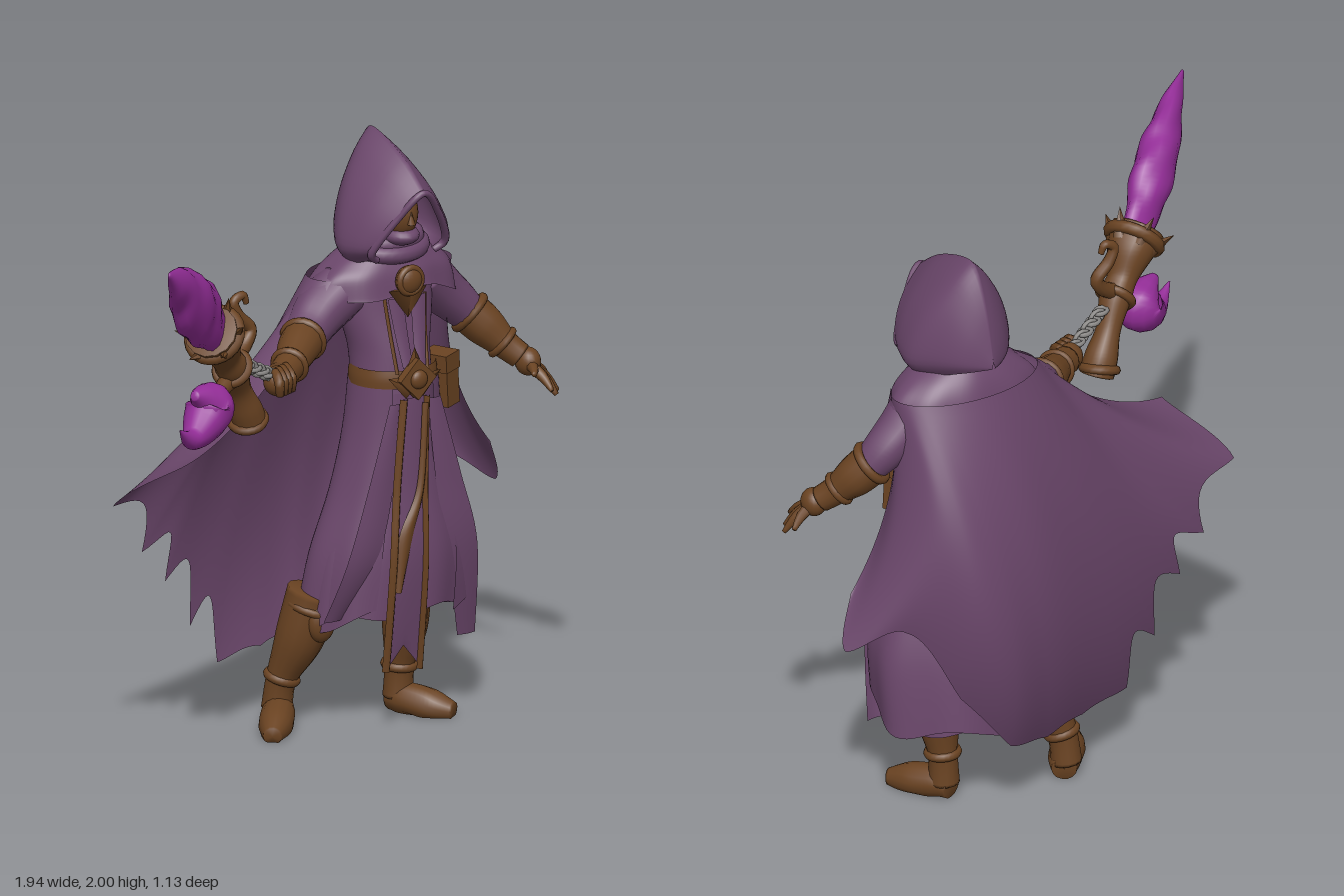
import * as THREE from 'three';

const mat = (name, color) => {
  const m = new THREE.MeshStandardMaterial({ color, side: THREE.DoubleSide });
  m.name = name;
  return m;
};
const V = (x, y, z) => new THREE.Vector3(x, y, z);

// Smooth interpolation through a list of number arrays, t from 0 to 1
function mix(list, t) {
  const n = list.length - 1, i = Math.min(Math.floor(t * n), n - 1), f = t * n - i;
  const at = (k) => list[Math.max(0, Math.min(n, k))];
  const [a, b, c, d] = [at(i - 1), at(i), at(i + 1), at(i + 2)];
  return b.map((p, k) => p + 0.5 * f * (c[k] - a[k] + f * (2 * a[k] - 5 * p + 4 * c[k] - d[k]
    + f * (3 * (p - c[k]) + d[k] - a[k]))));
}

// Surface from a rule fn(u, v) -> Vector3; closed joins the u ends
function grid(nu, nv, fn, closed = false) {
  const pos = [], idx = [], cols = closed ? nu : nu + 1;
  for (let j = 0; j <= nv; j++) for (let i = 0; i < cols; i++) pos.push(...fn(i / nu, j / nv).toArray());
  for (let j = 0; j < nv; j++) for (let i = 0; i < nu; i++) {
    const a = j * cols + i, b = j * cols + (i + 1) % cols, c = a + cols, d = b + cols;
    idx.push(a, c, b, b, c, d);
  }
  const g = new THREE.BufferGeometry();
  g.setAttribute('position', new THREE.Float32BufferAttribute(pos, 3));
  g.setIndex(idx);
  g.computeVertexNormals();
  return g;
}

// Elliptical rings [x, y, z, rx, rz]; fold(angle, t) gives [radius factor, y offset]
function loft(rings, { fold = () => [1, 0], from = 0, to = Math.PI * 2, rows = 20 } = {}) {
  return grid(64, rows, (u, v) => {
    const [x, y, z, rx, rz] = mix(rings, v), a = from + (to - from) * u, [k, dy] = fold(a, v);
    return V(x + Math.sin(a) * rx * k, y + dy, z + Math.cos(a) * rz * k);
  }, to - from > 6.28);
}

// Tube through points [x, y, z, radius], closed at both ends; flat thins it from front to back
function sweep(points, sides = 14, rows = 20, bump = () => 1, flat = 1) {
  const ref = V(0.3, 0.2, 0.93).normalize();
  return grid(sides, rows + 2, (u, w) => {
    const row = Math.round(w * (rows + 2)), v = Math.max(0, Math.min(1, (row - 1) / rows));
    const [x, y, z, r] = mix(points, v);
    const p0 = mix(points, Math.max(0, v - 0.01)), p1 = mix(points, Math.min(1, v + 0.01));
    const t = V(p1[0] - p0[0], p1[1] - p0[1], p1[2] - p0[2]).normalize();
    const n = V(0, 0, 0).crossVectors(t, ref).normalize(), b = V(0, 0, 0).crossVectors(t, n);
    const R = row === 0 || row === rows + 2 ? 0.0005 : Math.max(r, 0.002) * bump(u, v), a = -u * Math.PI * 2;
    return V(x, y, z).addScaledVector(n, Math.cos(a) * R).addScaledVector(b, Math.sin(a) * R * flat);
  }, true);
}

// Hanging cloth strip through [x, y, z, width], with a notch cut up into its end and a raised middle
const ribbon = (points, notch = 0, raise = 0.006) => grid(4, 24, (u, v) => {
  const [x, y, z, w] = mix(points, v);
  return V(x + (u - 0.5) * w, y + notch * v ** 8 * (1 - Math.abs(2 * u - 1)), z + raise * Math.sin(u * Math.PI));
});

export function createModel() {
  const cloth = mat('purple cloth', 0x6b476b), leather = mat('brown leather', 0x6a4322);
  const crystal = mat('violet crystal', 0x942e98), steel = mat('grey steel', 0x8a8886);
  const model = new THREE.Group();
  const add = (name, geo, m, p = [0, 0, 0], s = [1, 1, 1], r = [0, 0, 0]) => {
    const mesh = new THREE.Mesh(geo, m);
    mesh.name = name;
    mesh.position.set(...p); mesh.scale.set(...s); mesh.rotation.set(...r);
    model.add(mesh);
    return mesh;
  };
  const ball = new THREE.SphereGeometry(1, 20, 14);

  // Ring around a limb, its axis along dir
  const cuff = (name, p, radius, tube, dir) =>
    add(name, new THREE.TorusGeometry(radius, tube, 8, 24), leather, p)
      .quaternion.setFromUnitVectors(V(0, 0, 1), V(...dir).normalize());

  // Billowing cloak: curves from the shoulders to the hem, right edge to left edge, with torn notches
  const hem = [[-0.55, 1.07, 0.04], [-0.69, 0.9, -0.18], [-0.53, 0.7, -0.24], [-0.43, 0.58, -0.26], [-0.31, 0.4, -0.28],
    [-0.19, 0.25, -0.31], [0.03, 0.25, -0.37], [0.2, 0.24, -0.43], [0.38, 0.29, -0.48], [0.57, 0.52, -0.48],
    [0.73, 0.78, -0.4], [0.89, 0.7, -0.27], [0.82, 0.86, -0.2]];
  add('cloak', grid(144, 40, (u, w) => {
    const torn = u > 1 / 12 && u < 5 / 12 ? 0.14 : 0.015;
    const v = w * (1 - torn * Math.abs(Math.sin(12 * Math.PI * u)));
    const h = V(...mix(hem, u)), a = -0.5 + u * (Math.PI + 1);
    const top = V(0.38 - 0.27 * Math.cos(a), 1.54, -0.2 - 0.15 * Math.sin(a));
    const mid = top.clone().multiplyScalar(0.45).addScaledVector(h, 0.55);
    mid.add(V(-0.16 * u ** 4, -0.16 * (1 - u) ** 4, -0.31 * Math.sin(Math.PI * u ** 1.6)));
    const p = top.multiplyScalar((1 - v) ** 2).addScaledVector(mid, 2 * v * (1 - v)).addScaledVector(h, v * v);
    p.z += 0.006 * Math.sin(u * 34) * v;
    return p;
  }), cloth);

  // Hood: pointed arches from the slanted rim to the back; [apexY, apexZ, bottomY, bottomZ, halfWidth]
  const arches = [[1.85, 0.06, 1.62, -0.04, 0.15], [1.94, -0.06, 1.6, -0.09, 0.178], [2, -0.21, 1.585, -0.16, 0.188],
    [1.985, -0.28, 1.61, -0.25, 0.145], [1.86, -0.34, 1.64, -0.33, 0.085], [1.68, -0.385, 1.66, -0.385, 0.005]];
  const arch = [[0.8, 0], [1, 0.13], [0.92, 0.35], [0.69, 0.6], [0.34, 0.84], [0, 1]];
  add('hood', grid(40, 24, (u, v) => {
    const [ya, za, yb, zb, w] = mix(arches, v), side = u < 0.5 ? -1 : 1;
    const [x, s] = mix(arch, 1 - Math.abs(2 * u - 1));
    return V(0.383 + side * x * w, yb + (ya - yb) * s, zb + (za - zb) * s);
  }), cloth);
  add('hoodRim', sweep([[0.27, 1.61, -0.05, 0.012], [0.238, 1.65, -0.03, 0.014], [0.3, 1.76, 0.02, 0.012], [0.383, 1.848, 0.058, 0.012],
    [0.466, 1.76, 0.02, 0.012], [0.528, 1.65, -0.03, 0.014], [0.495, 1.61, -0.05, 0.012]], 8, 48), cloth);
  add('face', ball, leather, [0.383, 1.75, -0.09], [0.06, 0.09, 0.075]);
  add('nose', new THREE.ConeGeometry(0.014, 0.045, 8), leather, [0.383, 1.745, -0.015]);
  add('mask', ball, cloth, [0.383, 1.675, -0.085], [0.062, 0.035, 0.076]);
  for (const [y, r] of [[1.655, 0.1], [1.625, 0.12]])
    add('scarf', new THREE.TorusGeometry(r, 0.03, 10, 32), cloth, [0.383, y, -0.16], [1, 0.85, 1], [Math.PI / 2 + 0.15, 0, 0]);

  // Shoulder mantle, lifted at the front, over the torso
  add('mantle', loft([[0.383, 1.64, -0.18, 0.1, 0.1], [0.383, 1.58, -0.19, 0.2, 0.13], [0.38, 1.51, -0.195, 0.265, 0.15],
    [0.38, 1.4, -0.2, 0.285, 0.17]], {
    fold: (a, t) => [1 + 0.025 * t * Math.sin(9 * a), t * t * (0.09 * Math.max(0, Math.cos(a)) + 0.012 * Math.sin(5 * a))],
  }), cloth);
  add('torso', loft([[0.385, 1.56, -0.18, 0.17, 0.11], [0.385, 1.42, -0.175, 0.17, 0.12], [0.385, 1.28, -0.15, 0.14, 0.125],
    [0.385, 1.15, -0.135, 0.14, 0.125]]), cloth);
  for (const s of [-1, 1]) {
    add('chestStrap', ribbon([[0.385 + s * 0.08, 1.47, -0.058, 0.014], [0.385 + s * 0.07, 1.36, -0.042, 0.014],
      [0.385 + s * 0.06, 1.22, -0.012, 0.014]]), leather);
    add('lapel', ribbon([[0.385 + s * 0.045, 1.47, -0.045, 0.06], [0.385 + s * 0.035, 1.35, -0.025, 0.05],
      [0.385 + s * 0.025, 1.24, 0.0, 0.04]]), cloth);
  }

  // Clasp and pendant
  add('clasp', ball, leather, [0.383, 1.53, -0.03], [0.05, 0.05, 0.032]);
  cuff('claspRing', [0.383, 1.53, -0.02], 0.042, 0.012, [0, 0, 1]);
  add('pendant', new THREE.ConeGeometry(0.075, 0.1, 4), leather, [0.383, 1.45, -0.035], [1, 1, 0.3], [Math.PI, 0, 0]);

  // Belt, shield-like buckle and pouch
  add('belt', loft([[0.39, 1.23, -0.135, 0.145, 0.132], [0.39, 1.2, -0.135, 0.15, 0.138], [0.39, 1.17, -0.135, 0.15, 0.138]], { rows: 6 }), leather);
  add('buckle', new THREE.BoxGeometry(0.1, 0.1, 0.03), leather, [0.38, 1.205, 0.018], [1, 1, 1], [0, 0, Math.PI / 4]);
  add('buckleBoss', ball, leather, [0.38, 1.205, 0.034], [0.032, 0.032, 0.018]);
  add('buckleCrest', new THREE.ConeGeometry(0.04, 0.09, 4), leather, [0.38, 1.265, 0.008], [1, 1, 0.4]);
  for (const s of [-1, 1]) add('buckleWing', new THREE.ConeGeometry(0.04, 0.1, 4), leather,
    [0.38 + s * 0.06, 1.195, 0.008], [1, 1, 0.4], [0, 0, -s * 1.1]);
  add('pouch', new THREE.BoxGeometry(0.07, 0.16, 0.09), leather, [0.56, 1.14, -0.1], [1, 1, 1], [0, 0.4, 0.08]);
  add('pouchFlap', new THREE.BoxGeometry(0.08, 0.06, 0.1), leather, [0.555, 1.21, -0.1], [1, 1, 1], [0, 0.4, 0.08]);

  // Robe skirt lower at the back, with an outer coat split at the front
  const skirt = [[0.39, 1.18, -0.135, 0.135, 0.125], [0.39, 1, -0.14, 0.155, 0.135], [0.4, 0.8, -0.15, 0.21, 0.16],
    [0.4, 0.6, -0.165, 0.275, 0.195], [0.385, 0.41, -0.185, 0.29, 0.215]];
  const drop = (a, t) => -0.05 * t ** 4 * (1 - Math.cos(a));
  add('robeSkirt', loft(skirt, { fold: (a, t) => [1 + 0.03 * t * Math.sin(8 * a), 0.015 * t ** 3 * Math.sin(5 * a) + drop(a, t)] }), cloth);
  add('outerCoat', loft(skirt.map(([x, y, z, rx, rz]) => [x + 0.005, y, z - 0.005, rx + 0.018, rz + 0.015]), {
    from: 0.5, to: Math.PI * 2 - 0.55,
    fold: (a, t) => [1 + 0.03 * t * Math.sin(7 * a + 1), 0.03 * t ** 4 * Math.sin(4 * a + 3.5) + drop(a, t)],
  }), cloth);
  for (const [x0, x1, y1] of [[0.32, 0.1, 0.4], [0.47, 0.63, 0.27]])
    add('coatPanel', ribbon([[x0, 1.12, -0.01, 0.05], [x0 * 0.7 + x1 * 0.3, 0.85, 0.0, 0.1],
      [x0 * 0.35 + x1 * 0.65, 0.6, 0.0, 0.12], [x1, y1, -0.06, 0.07]]), cloth);

  // Tabard with trim and sash
  const left = [[0.335, 1.14, 0.01], [0.3, 0.85, 0.022], [0.268, 0.58, 0.048], [0.262, 0.22, 0.012]];
  const right = [[0.425, 1.14, 0.01], [0.41, 0.85, 0.022], [0.395, 0.58, 0.048], [0.395, 0.21, 0.012]];
  add('tabard', ribbon(left.map((l, i) => [(l[0] + right[i][0]) / 2, l[1], l[2], right[i][0] - l[0]]), 0.08), cloth);
  for (const [side, w] of [[left, 0.028], [right, 0.02]])
    add('tabardTrim', ribbon(side.map(([x, y, z]) => [x, y, z, w]), 0, 0.02), leather);
  add('sash', ribbon([[0.415, 1.12, 0.02, 0.025], [0.385, 0.84, 0.035, 0.03], [0.315, 0.68, 0.052, 0.055], [0.28, 0.5, 0.062, 0.025]], 0, 0.012), leather);

  // Boots: leg, cuffs and foot with a flat sole
  const boot = (leg, foot) => {
    add('bootLeg', sweep(leg), leather);
    const [[kx, ky, kz, kr], , [cx, cy, cz], [ax, ay, az]] = leg;
    const d = [kx - ax, ky - ay, kz - az];
    cuff('bootTopCuff', [kx, ky - 0.05, kz], kr - 0.004, 0.014, d);
    cuff('bootStrap', [cx, cy, cz], 0.048, 0.016, d);
    add('kneeGuard', ball, leather, [kx - 0.01, ky - 0.09, kz + 0.06], [0.05, 0.07, 0.035]);
    const g = sweep(foot), p = g.attributes.position;
    for (let i = 0; i < p.count; i++) p.setY(i, Math.max(0, p.getY(i)));
    g.computeVertexNormals();
    add('foot', g, leather);
  };
  boot([[0.135, 0.46, -0.22, 0.088], [0.1, 0.3, -0.25, 0.082], [0.06, 0.16, -0.295, 0.052], [0.05, 0.05, -0.31, 0.052]],
    [[0.075, 0.04, -0.335, 0.042], [0.04, 0.045, -0.285, 0.055], [-0.03, 0.03, -0.2, 0.056], [-0.09, 0.02, -0.13, 0.03]]);
  boot([[0.47, 0.46, -0.17, 0.08], [0.47, 0.3, -0.18, 0.076], [0.462, 0.16, -0.2, 0.05], [0.46, 0.05, -0.205, 0.052]],
    [[0.45, 0.04, -0.235, 0.042], [0.47, 0.045, -0.185, 0.055], [0.52, 0.03, -0.1, 0.056], [0.565, 0.02, -0.035, 0.03]]);

  // Right arm reaching out to the chain
  add('rightSleeve', sweep([[0.22, 1.49, -0.18, 0.095], [0.13, 1.435, -0.17, 0.09], [0.06, 1.39, -0.14, 0.078], [-0.02, 1.355, -0.08, 0.056]]), cloth);
  add('rightGauntlet', sweep([[0.02, 1.37, -0.11, 0.072], [-0.03, 1.355, -0.07, 0.068], [-0.11, 1.33, 0.0, 0.054], [-0.18, 1.315, 0.05, 0.05]]), leather);
  cuff('rightCuff', [0.015, 1.37, -0.105], 0.065, 0.016, [-0.23, -0.065, 0.18]);
  cuff('rightWristStrap', [-0.11, 1.33, 0.0], 0.052, 0.014, [-0.23, -0.065, 0.18]);
  add('rightHand', ball, leather, [-0.2, 1.31, 0.07], [0.055, 0.052, 0.045]);
  for (let i = 0; i < 4; i++) add('rightFinger', sweep([[-0.17 - i * 0.022, 1.355, 0.06 + i * 0.012, 0.014],
    [-0.18 - i * 0.022, 1.33, 0.115 + i * 0.008, 0.017], [-0.17 - i * 0.022, 1.28, 0.1 + i * 0.01, 0.014]], 8, 8), leather);

  // Left arm with an open hand
  add('leftSleeve', sweep([[0.55, 1.49, -0.19, 0.09], [0.62, 1.42, -0.195, 0.082], [0.69, 1.355, -0.19, 0.072], [0.75, 1.29, -0.17, 0.055]]), cloth);
  add('leftGauntlet', sweep([[0.73, 1.32, -0.185, 0.072], [0.775, 1.27, -0.155, 0.068], [0.82, 1.215, -0.115, 0.05], [0.86, 1.175, -0.08, 0.044]]), leather);
  cuff('leftCuff', [0.73, 1.32, -0.185], 0.066, 0.016, [0.14, -0.16, 0.11]);
  cuff('leftWristStrap', [0.815, 1.22, -0.12], 0.05, 0.013, [0.14, -0.16, 0.11]);
  add('leftPalm', ball, leather, [0.875, 1.16, -0.06], [0.042, 0.048, 0.048]);
  for (const [x, y, z] of [[0.965, 1.09, -0.08], [0.965, 1.055, -0.02], [0.935, 1.055, 0.02], [0.9, 1.08, 0.045], [0.84, 1.14, 0.03]])
    add('leftFinger', sweep([[0.872, 1.155, -0.06, 0.022], [(x + 0.885) / 2, (y + 1.16) / 2, (z - 0.05) / 2, 0.018], [x, y, z, 0.008]], 8, 8), leather);

  // Chain links from the hand to the staff
  for (let i = 0; i < 8; i++) {
    const t = i / 7;
    add('chainLink', new THREE.TorusGeometry(0.021, 0.008, 6, 12), steel, [-0.23 - 0.14 * t, 1.335 + 0.07 * t, 0.08 + 0.05 * t],
      [1.2, 0.9, 1], [(i % 2) * Math.PI / 2, 0, -0.4]);
  }

  // Staff: pommel, shaft, spiked collar, hook
  add('staffShaft', sweep([[-0.335, 1.19, 0.1, 0.058], [-0.36, 1.25, 0.11, 0.056], [-0.4, 1.33, 0.13, 0.042], [-0.45, 1.42, 0.165, 0.055],
    [-0.49, 1.47, 0.185, 0.052], [-0.54, 1.54, 0.215, 0.08], [-0.59, 1.59, 0.245, 0.09]], 14, 40), leather);
  const axis = V(-0.7, 0.6, 0.42).normalize();
  cuff('pommelRing', [-0.345, 1.21, 0.1], 0.055, 0.016, [-0.3, 0.85, 0.3]);
  cuff('shaftRing', [-0.45, 1.42, 0.165], 0.056, 0.016, axis.toArray());
  cuff('collarRing', [-0.565, 1.57, 0.23], 0.085, 0.022, axis.toArray());
  const out = V(0, 0, 1).cross(axis).normalize(), over = axis.clone().cross(out);
  for (let i = 0; i < 6; i++) {
    const a = i * Math.PI / 3, d = out.clone().multiplyScalar(Math.cos(a)).addScaledVector(over, Math.sin(a));
    const p = V(-0.565, 1.57, 0.23).addScaledVector(d, 0.09).addScaledVector(axis, 0.015);
    add('collarSpike', new THREE.ConeGeometry(0.03, 0.1, 5), leather, p.toArray())
      .quaternion.setFromUnitVectors(V(0, 1, 0), d.multiplyScalar(0.8).add(axis).normalize());
  }
  add('staffHook', sweep([[-0.45, 1.44, 0.16, 0.03], [-0.385, 1.48, 0.14, 0.025], [-0.355, 1.53, 0.13, 0.022], [-0.4, 1.58, 0.13, 0.02],
    [-0.42, 1.63, 0.13, 0.017], [-0.385, 1.65, 0.13, 0.014], [-0.37, 1.62, 0.13, 0.01]], 10, 36), leather);
  add('clawMount', sweep([[-0.43, 1.39, 0.15, 0.035], [-0.48, 1.375, 0.175, 0.03], [-0.52, 1.36, 0.2, 0.025]], 10, 8), leather);

  // Flattened crystal blade and crescent claw
  add('crystalBlade', sweep([[-0.57, 1.58, 0.235, 0.07], [-0.64, 1.64, 0.285, 0.09], [-0.7, 1.7, 0.33, 0.107], [-0.77, 1.76, 0.39, 0.102],
    [-0.83, 1.82, 0.44, 0.078], [-0.89, 1.87, 0.495, 0.052], [-0.965, 1.925, 0.555, 0.008]], 14, 36,
  (u, v) => 1 + 0.1 * Math.sin(u * Math.PI * 6 + v * 9) * Math.sin(v * 14 + 1), 0.62), crystal);
  add('crystalClaw', sweep([[-0.665, 1.385, 0.26, 0.015], [-0.61, 1.36, 0.235, 0.052], [-0.575, 1.325, 0.22, 0.08], [-0.615, 1.28, 0.24, 0.07],
    [-0.695, 1.25, 0.29, 0.036], [-0.768, 1.3, 0.33, 0.003]], 14, 36), crystal);

  return model;
}
